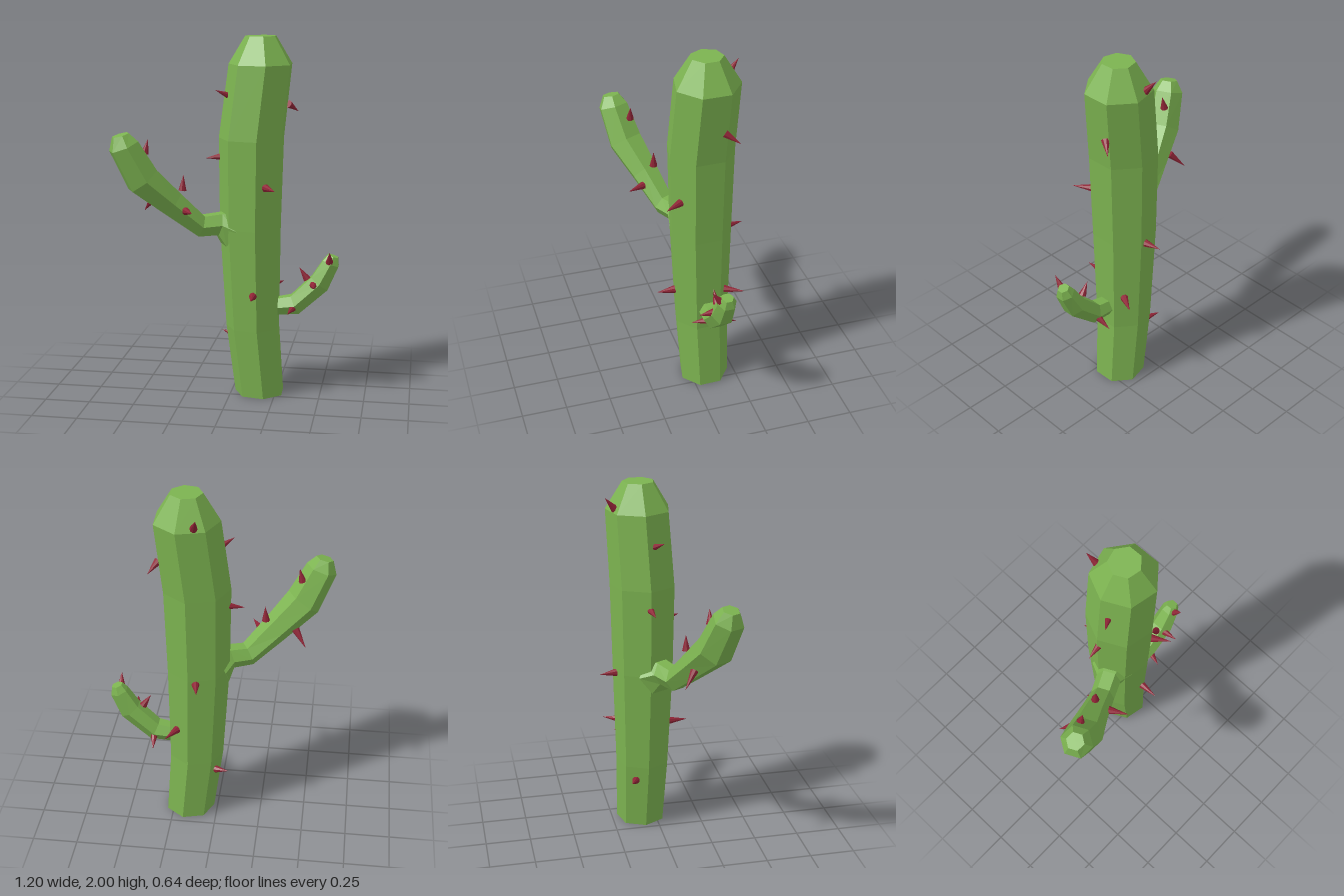
import * as THREE from 'three';

const V = (x, y, z) => new THREE.Vector3(x, y, z);
const green = new THREE.MeshStandardMaterial({ color: 0x7cb350, flatShading: true });
const red = new THREE.MeshStandardMaterial({ color: 0x8f2436, flatShading: true });

// Faceted closed skin through rings of { c: centre, r: radius, u, v: ring axes }, with u x v pointing along the path
function loft(rings, sides, start) {
  const pos = [];
  const tri = (...p) => p.forEach((q) => pos.push(q.x, q.y, q.z));
  const pts = rings.map(({ c, r, u, v }) => Array.from({ length: sides }, (_, j) => {
    const a = start + (j / sides) * Math.PI * 2;
    return c.clone().addScaledVector(u, r * Math.cos(a)).addScaledVector(v, r * Math.sin(a));
  }));
  const last = rings.length - 1;
  for (let j = 0; j < sides; j++) {
    const k = (j + 1) % sides;
    for (let i = 0; i < last; i++) {
      tri(pts[i][j], pts[i][k], pts[i + 1][k]);
      tri(pts[i][j], pts[i + 1][k], pts[i + 1][j]);
    }
    tri(rings[0].c, pts[0][k], pts[0][j]);
    tri(rings[last].c, pts[last][j], pts[last][k]);
  }
  const geo = new THREE.BufferGeometry();
  geo.setAttribute('position', new THREE.Float32BufferAttribute(pos, 3));
  geo.computeVertexNormals();
  return geo;
}

// Trunk: level seven-sided rings [x, y, z, radius]
function trunkGeometry() {
  const rings = [
    [0.16, 0, -0.08, 0.14], [0.122, 0.39, -0.072, 0.153], [0.108, 0.96, -0.066, 0.174],
    [0.112, 1.45, -0.065, 0.184], [0.157, 1.85, -0.083, 0.178], [0.155, 2, -0.083, 0.086],
  ].map(([x, y, z, r]) => ({ c: V(x, y, z), r, u: V(1, 0, 0), v: V(0, 0, -1) }));
  return loft(rings, 7, -24 * Math.PI / 180);
}

// Arm: six-sided rings [x, y, z, radius] set square to the bending path
function armGeometry(path) {
  const p = path.map(([x, y, z]) => V(x, y, z));
  const side = p[p.length - 1].clone().sub(p[0]).cross(V(0, 1, 0)).normalize();
  const dir = (i) => p[i + 1].clone().sub(p[i]).normalize();
  const rings = p.map((c, i) => {
    const t = V(0, 0, 0);
    if (i > 0) t.add(dir(i - 1));
    if (i < p.length - 1) t.add(dir(i));
    t.normalize();
    const v = t.clone().cross(side).normalize();
    return { c, r: path[i][3], u: side, v };
  });
  return loft(rings, 6, 0);
}

// Spines: cones from a base point on the skin to a tip
function spines(name, list) {
  const group = new THREE.Group();
  group.name = name;
  for (const [bx, by, bz, tx, ty, tz] of list) {
    const dir = V(tx - bx, ty - by, tz - bz);
    const sink = 0.012, len = dir.length() + sink;
    dir.normalize();
    const geo = new THREE.ConeGeometry(0.022, len, 8);
    geo.translate(0, len / 2 - sink, 0);
    const cone = new THREE.Mesh(geo, red);
    cone.name = 'spine';
    cone.position.set(bx, by, bz);
    cone.quaternion.setFromUnitVectors(V(0, 1, 0), dir);
    group.add(cone);
  }
  return group;
}

export function createModel() {
  const model = new THREE.Group();
  model.name = 'cactus';
  const add = (name, geo) => {
    const mesh = new THREE.Mesh(geo, green);
    mesh.name = name;
    model.add(mesh);
  };

  add('trunk', trunkGeometry());
  // Long bent arm
  add('rightArm', armGeometry([
    [0.0, 0.955, -0.02, 0.115], [-0.06, 0.985, 0.01, 0.068], [-0.155, 0.98, 0.055, 0.066],
    [-0.3, 1.115, 0.125, 0.08], [-0.44, 1.25, 0.197, 0.1], [-0.53, 1.435, 0.24, 0.086],
    [-0.545, 1.495, 0.247, 0.048],
  ]));
  // Short arm
  add('leftArm', armGeometry([
    [0.2, 0.5, -0.075, 0.05], [0.355, 0.523, -0.078, 0.062], [0.49, 0.65, -0.08, 0.065],
    [0.55, 0.765, -0.08, 0.052], [0.562, 0.805, -0.08, 0.032],
  ]));

  model.add(spines('trunkSpines', [
    [-0.01, 1.68, -0.035, -0.08, 1.715, 0.01],
    [0.305, 1.625, -0.145, 0.347, 1.585, -0.205],
    [-0.06, 1.345, -0.06, -0.145, 1.335, -0.05],
    [0.21, 1.2, 0.08, 0.265, 1.2, 0.165],
    [0.14, 0.6, 0.095, 0.142, 0.6, 0.19],
    [-0.005, 0.31, -0.14, -0.07, 0.325, -0.17],
    [0.1, 1.875, -0.225, 0.085, 1.935, -0.275],
    [0.1, 0.94, -0.235, 0.085, 0.94, -0.32],
    [0.22, 0.6, -0.19, 0.27, 0.6, -0.28],
  ]));
  model.add(spines('rightArmSpines', [
    [-0.43, 1.4, 0.17, -0.415, 1.465, 0.17],
    [-0.415, 1.12, 0.09, -0.47, 1.05, 0.035],
    [-0.245, 1.19, 0.09, -0.24, 1.265, 0.09],
    [-0.21, 1.08, 0.17, -0.163, 1.085, 0.255],
  ]));
  model.add(spines('leftArmSpines', [
    [0.545, 0.785, -0.04, 0.548, 0.84, 0.0],
    [0.46, 0.645, -0.025, 0.468, 0.65, 0.048],
    [0.415, 0.68, -0.067, 0.377, 0.738, -0.062],
    [0.345, 0.508, -0.03, 0.325, 0.495, 0.045],
    [0.355, 0.505, -0.125, 0.35, 0.47, -0.205],
  ]));
  return model;
}
